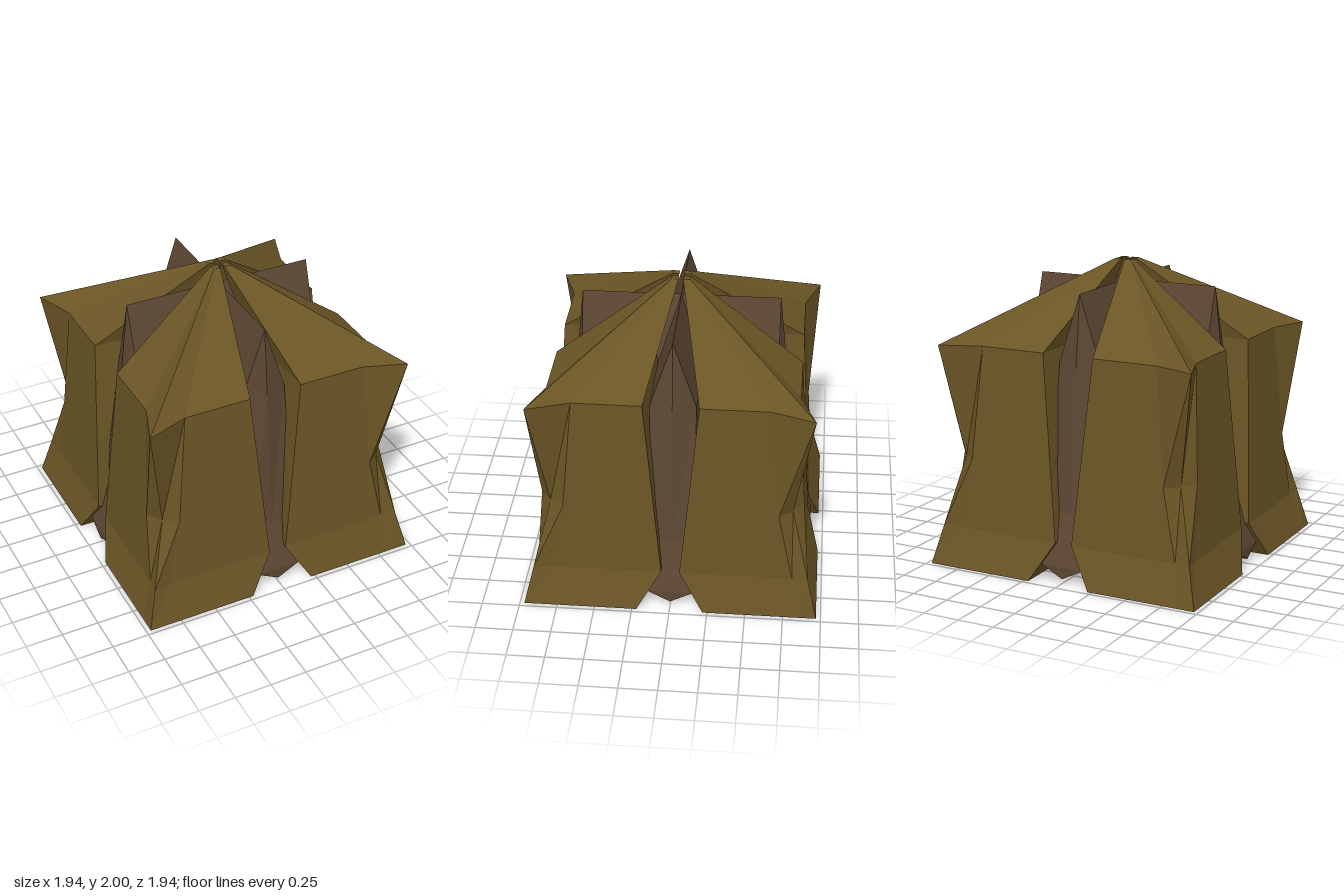
import * as THREE from 'three';

// Skin stacked rings (each counter-clockwise seen from above, bottom to top) with flat facets.
function loft(rings) {
  const pos = [];
  const tri = (a, b, c) => pos.push(...a, ...b, ...c);
  const n = rings[0].length;
  for (let r = 0; r < rings.length - 1; r++) {
    const lo = rings[r], hi = rings[r + 1];
    for (let i = 0; i < n; i++) {
      const j = (i + 1) % n;
      tri(lo[i], lo[j], hi[j]);
      tri(lo[i], hi[j], hi[i]);
    }
  }
  const bottom = rings[0], top = rings[rings.length - 1];
  for (let i = 1; i < n - 1; i++) {
    tri(bottom[0], bottom[i + 1], bottom[i]);
    tri(top[0], top[i], top[i + 1]);
  }
  const g = new THREE.BufferGeometry();
  g.setAttribute('position', new THREE.Float32BufferAttribute(pos, 3));
  g.computeVertexNormals();
  return g;
}

// Section of a corner block, symmetric about its diagonal:
// inner corner, gap-side edge (gap, face), crease along the face, outer corner.
function blockRing(y, inner, gap, face, crease, corner) {
  return [
    [inner, y, inner], [gap, y, face], [crease, y, face],
    [corner, y, corner], [face, y, crease], [face, y, gap],
  ];
}

// Section of a cross beam along z, with a slightly raised centre on each end.
function beamRing(y, w, side, mid) {
  return [
    [-w, y, side], [0, y, mid], [w, y, side],
    [w, y, -side], [0, y, -mid], [-w, y, -side],
  ];
}

export function createModel() {
  const model = new THREE.Group();
  const olive = new THREE.MeshStandardMaterial({ color: 0x6a5525, flatShading: true });
  const brown = new THREE.MeshStandardMaterial({ color: 0x5c4632, flatShading: true });

  // Four flared corner blocks with sloping roofs meeting near the apex
  const blockGeo = loft([
    blockRing(0, 0.22, 0.22, 0.97, 0.86, 0.97),
    blockRing(0.26, 0.06, 0.06, 0.89, 0.8, 0.906),
    blockRing(0.73, 0.1, 0.106, 0.86, 0.7, 0.79),
    blockRing(1.49, 0.15, 0.18, 0.81, 0.63, 0.91),
    blockRing(2, 0.015, 0.015, 0.06, 0.045, 0.06),
  ]);
  // Two crossing ridged beams between the blocks
  const beamGeo = loft([
    beamRing(0.03, 0, 0.91, 0.91),
    beamRing(0.11, 0.15, 0.91, 0.91),
    beamRing(0.44, 0.15, 0.8, 0.8),
    beamRing(1.4, 0.15, 0.65, 0.7),
    beamRing(1.86, 0, 0.65, 0.65),
  ]);

  for (let i = 0; i < 4; i++) {
    const block = new THREE.Mesh(blockGeo, olive);
    block.name = 'cornerBlock' + (i + 1);
    block.rotation.y = i * Math.PI / 2;
    model.add(block);
  }
  for (let i = 0; i < 2; i++) {
    const beam = new THREE.Mesh(beamGeo, brown);
    beam.name = 'crossBeam' + (i + 1);
    beam.rotation.y = i * Math.PI / 2;
    model.add(beam);
  }
  return model;
}
